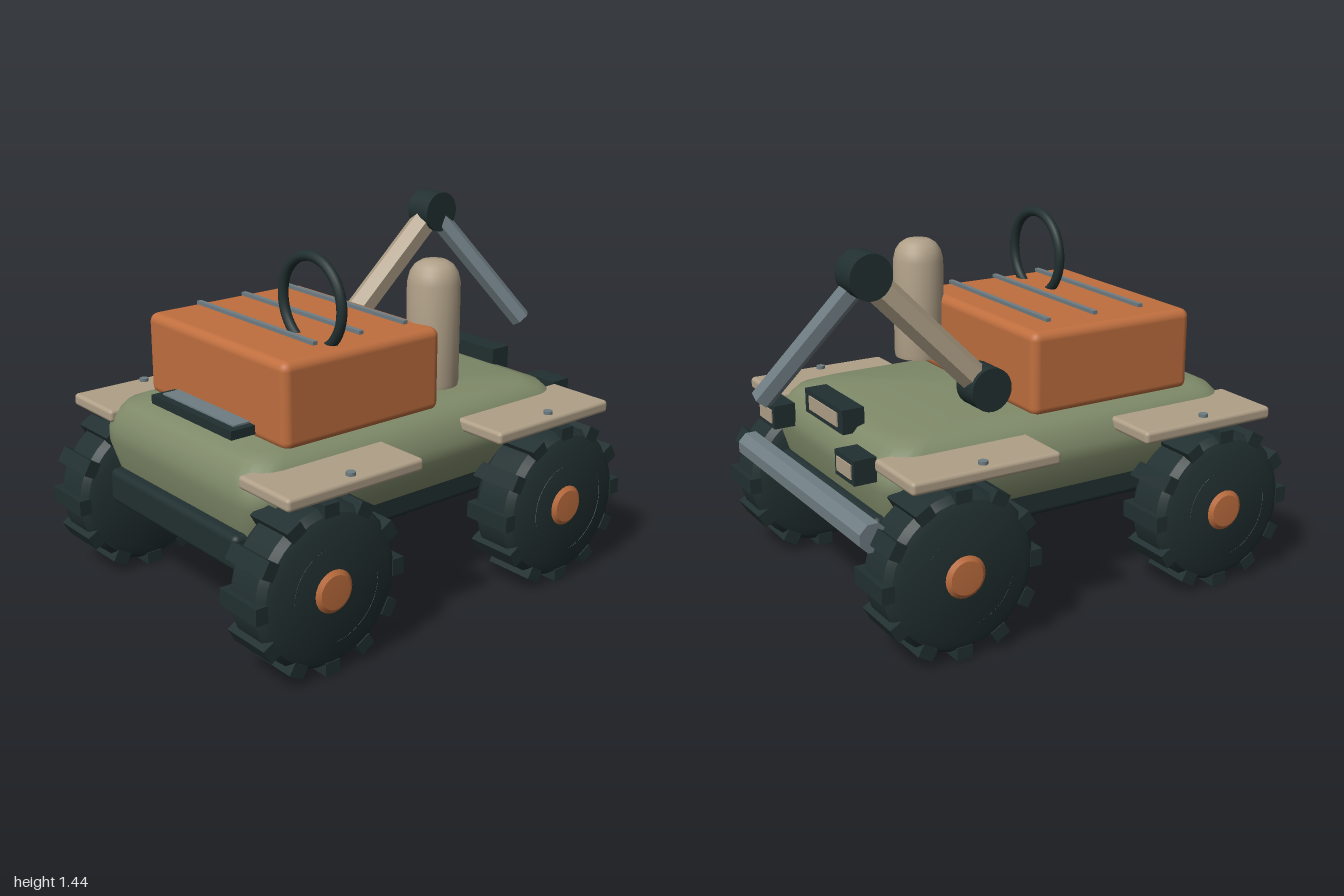
import * as THREE from 'three';
import { toCreasedNormals } from 'three/addons/utils/BufferGeometryUtils.js';
import { RoundedBoxGeometry } from 'three/addons/geometries/RoundedBoxGeometry.js';

const paint = (name, color) => {
  const m = new THREE.MeshStandardMaterial({ color });
  m.name = name;
  return m;
};

// Body shell: rounded rectangles stacked upwards, rows of [y, halfWidth, frontZ, backZ, cornerRadius]
function shellGeometry(rows) {
  const steps = 5, n = 4 * (steps + 1), pos = [], index = [];
  for (const [y, hx, zf, zb, r] of rows) {
    for (let q = 0; q < 4; q++) {
      const cx = (q === 0 || q === 3 ? 1 : -1) * (hx - r);
      const cz = q < 2 ? zf - r : zb + r;
      for (let s = 0; s <= steps; s++) {
        const a = (q + s / steps) * Math.PI / 2;
        pos.push(cx + r * Math.cos(a), y, cz + r * Math.sin(a));
      }
    }
  }
  for (let k = 0; k < rows.length - 1; k++) {
    for (let i = 0; i < n; i++) {
      const a = k * n + i, b = k * n + (i + 1) % n;
      index.push(a, a + n, b, b, a + n, b + n);
    }
  }
  const top = (rows.length - 1) * n;
  const low = pos.length / 3;
  pos.push(0, rows[0][0], 0, 0, rows[rows.length - 1][0], 0);
  for (let i = 0; i < n; i++) {
    const j = (i + 1) % n;
    index.push(low, i, j, low + 1, top + j, top + i);
  }
  const g = new THREE.BufferGeometry();
  g.setAttribute('position', new THREE.Float32BufferAttribute(pos, 3));
  g.setIndex(index);
  return toCreasedNormals(g, 0.7);
}

// Lathe whose profile is [radius, distance along +x]
function latheX(points, segments) {
  const g = new THREE.LatheGeometry(points.map(([r, x]) => new THREE.Vector2(r, x)), segments);
  g.rotateZ(-Math.PI / 2);
  return toCreasedNormals(g, 0.5);
}

export function createModel() {
  const model = new THREE.Group();
  model.name = 'utilityBuggy';
  const olive = paint('olive body', 0x7f8a69);
  const orange = paint('orange', 0xc06f3f);
  const tan = paint('tan', 0xb0a088);
  const dark = paint('dark rubber', 0x223031);
  const steel = paint('steel grey', 0x6f7d83);

  const add = (name, geo, mat, x = 0, y = 0, z = 0, parent = model) => {
    const m = new THREE.Mesh(geo, mat);
    m.name = name;
    m.position.set(x, y, z);
    parent.add(m);
    return m;
  };
  const box = (w, h, d) => new THREE.BoxGeometry(w, h, d);
  const rbox = (w, h, d, r) => new RoundedBoxGeometry(w, h, d, 3, r);
  const rodX = (r, len, sides = 28) => new THREE.CylinderGeometry(r, r, len, sides).rotateZ(Math.PI / 2);

  // Straight faceted beam between two points
  const beam = (name, from, to, r, mat) => {
    const a = new THREE.Vector3(...from), b = new THREE.Vector3(...to);
    const g = toCreasedNormals(new THREE.CylinderGeometry(r, r, a.distanceTo(b), 6), 0.3);
    const m = add(name, g, mat);
    m.position.copy(a).lerp(b, 0.5);
    m.quaternion.setFromUnitVectors(new THREE.Vector3(0, 1, 0), b.sub(a).normalize());
  };

  // Body and chassis
  add('body', shellGeometry([
    [0.48, 0.49, 0.85, -0.68, 0.1],
    [0.6, 0.535, 0.88, -0.71, 0.12],
    [0.65, 0.535, 0.88, -0.71, 0.12],
    [0.71, 0.505, 0.865, -0.69, 0.12],
    [0.755, 0.475, 0.83, -0.65, 0.12],
    [0.775, 0.43, 0.79, -0.58, 0.12],
  ]), olive);
  add('chassis', rbox(0.86, 0.14, 1.62, 0.025), dark, 0, 0.425, 0.09);

  // Engine cover with top rails
  add('engineCover', rbox(0.89, 0.33, 0.74, 0.035), orange, 0, 0.925, 0.315);
  for (const z of [0.06, 0.275, 0.49]) add('coverRail', box(0.74, 0.014, 0.02), steel, 0, 1.113, z);

  // Front step
  add('frontStep', box(0.53, 0.035, 0.11), dark, 0, 0.802, 0.735);
  add('frontStepPlate', box(0.47, 0.008, 0.08), steel, 0, 0.822, 0.717);

  // Steering wheel and stack
  add('steeringWheel', new THREE.TorusGeometry(0.173, 0.02, 12, 48), dark, 0.244, 1.222, 0.405);
  const stack = [[0, 0.83], [0.1, 0.83], [0.103, 0.85], [0.103, 1.235], [0.093, 1.275], [0.075, 1.302], [0.05, 1.318], [0, 1.322]];
  add('stack', toCreasedNormals(new THREE.LatheGeometry(stack.map(p => new THREE.Vector2(...p)), 28), 0.7),
    tan, 0.333, 0, -0.115);

  // Folding arm
  const shoulder = [-0.32, 0.88, -0.195], elbow = [-0.265, 1.352, -0.655];
  add('armShoulder', rodX(0.085, 0.12), dark, ...shoulder);
  add('armElbow', rodX(0.085, 0.12), dark, ...elbow);
  beam('lowerArm', shoulder, elbow, 0.057, tan);
  beam('upperArm', elbow, [0, 0.868, -0.955], 0.044, steel);

  // Rear bumper and lamps
  const bar = toCreasedNormals(rodX(0.058, 1.12, 8).rotateX(Math.PI / 8), 0.3);
  add('rearBumper', bar, steel, 0, 0.487, -0.79);
  const lamp = (name, w, x, y, z) => {
    add(name, box(w, 0.095, 0.09), dark, x, y, z);
    add(name + 'Lens', box(w * 0.75, 0.055, 0.008), tan, x, y, z - 0.046);
  };
  lamp('centreLamp', 0.33, 0, 0.78, -0.665);
  for (const s of [-1, 1]) lamp('cornerLamp', 0.155, s * 0.355, 0.685, -0.752);

  // Wheel geometries, outer face towards +x
  const tire = latheX([[0, -0.115], [0.25, -0.115], [0.285, -0.1], [0.307, -0.07],
    [0.307, 0.07], [0.285, 0.1], [0.25, 0.115], [0, 0.115]], 40);
  const ring = latheX([[0.17, 0.112], [0.175, 0.119], [0.197, 0.119], [0.202, 0.112]], 40);
  const hub = latheX([[0.082, 0.1], [0.082, 0.115], [0.065, 0.128], [0, 0.131]], 24);
  const tread = box(0.215, 0.05, 0.065);

  for (const [end, wz, fz] of [['front', 0.68, 0.577], ['rear', -0.505, -0.413]]) {
    add(end + 'Axle', rodX(0.06, 0.98), steel, 0, 0.307, wz);
    for (const s of [-1, 1]) {
      // Wheel with twelve tread blocks
      const wheel = new THREE.Group();
      wheel.name = end + 'Wheel';
      wheel.position.set(s * 0.593, 0.328, wz);
      wheel.rotation.y = s > 0 ? 0 : Math.PI;
      model.add(wheel);
      add('tire', tire, dark, 0, 0, 0, wheel);
      add('rimRing', ring, steel, 0, 0, 0, wheel);
      add('hub', hub, orange, 0, 0, 0, wheel);
      for (let i = 0; i < 12; i++) {
        const a = i * Math.PI / 6;
        const t = add('treadBlock', tread, dark, 0, 0.303 * Math.cos(a), 0.303 * Math.sin(a), wheel);
        t.rotation.x = a;
      }
      // Fender with bolt
      add(end + 'Fender', rbox(0.29, 0.05, 0.608, 0.015), tan, s * 0.573, 0.702, fz);
      add('fenderBolt', new THREE.CylinderGeometry(0.018, 0.018, 0.03, 12), steel, s * 0.675, 0.725, fz);
    }
  }
  return model;
}
